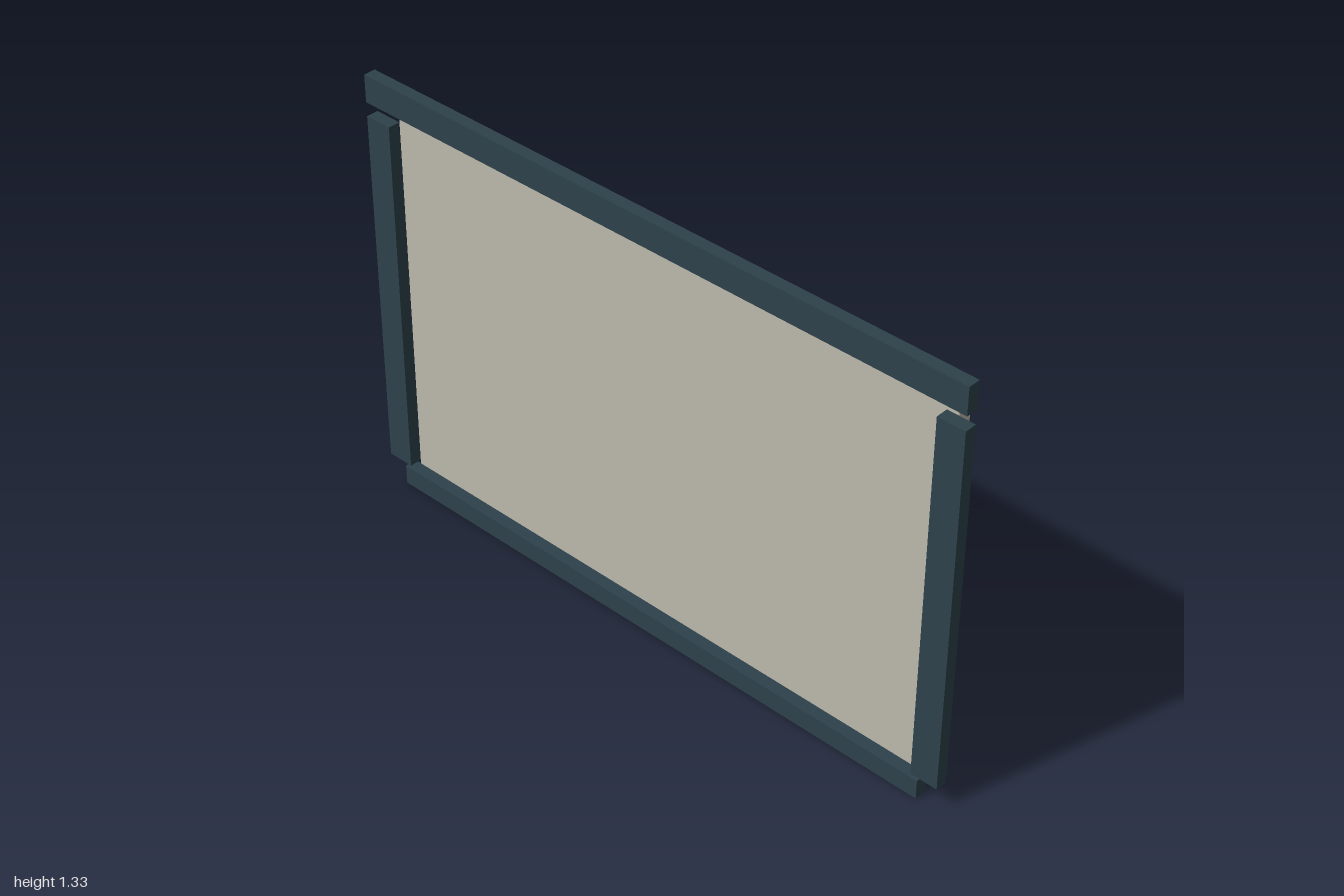
import * as THREE from 'three';

export function createModel() {
  const model = new THREE.Group();
  model.name = 'framedPanel';

  const frameMaterial = new THREE.MeshStandardMaterial({ color: 0x2d424b });
  frameMaterial.name = 'dark slate frame';
  const panelMaterial = new THREE.MeshStandardMaterial({ color: 0xbdb9ad });
  panelMaterial.name = 'warm grey panel';

  // Box given by its lower and upper limits on each axis
  function slab(name, material, [x0, x1], [y0, y1], [z0, z1]) {
    const mesh = new THREE.Mesh(new THREE.BoxGeometry(x1 - x0, y1 - y0, z1 - z0), material);
    mesh.position.set((x0 + x1) / 2, (y0 + y1) / 2, (z0 + z1) / 2);
    mesh.name = name;
    model.add(mesh);
  }

  const frameDepth = [0.012, 0.049];

  // Separate frame bars in front
  slab('topRail', frameMaterial, [-1, 1], [1.242, 1.325], frameDepth);
  slab('bottomRail', frameMaterial, [-0.938, 0.938], [0, 0.061], frameDepth);
  slab('leftPost', frameMaterial, [0.916, 1], [0.073, 1.199], frameDepth);
  slab('rightPost', frameMaterial, [-1, -0.916], [0.073, 1.199], frameDepth);

  // Large panel behind the frame
  slab('backPanel', panelMaterial, [-0.938, 0.938], [0.031, 1.241], [-0.049, -0.008]);

  return model;
}
